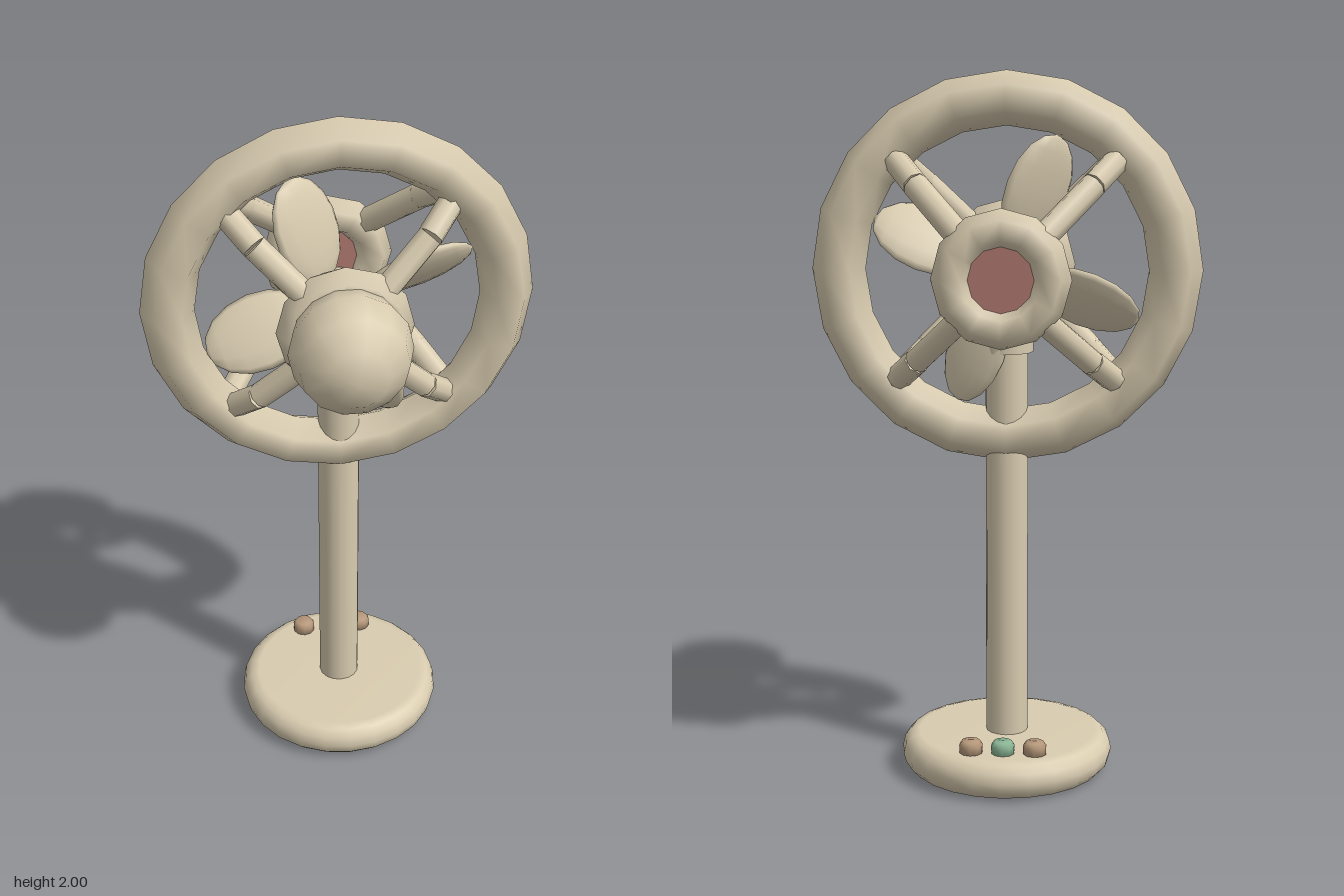
import * as THREE from 'three';

const CY = 1.455; // height of the fan axis
const CZ = -0.063; // depth of the pole and ring
const paint = (color) => new THREE.MeshStandardMaterial({ color });
const cream = paint(0xd9ccb0), red = paint(0xb07a70), green = paint(0x8ab594), brown = paint(0xb5977a);

function add(parent, name, geometry, material, x = 0, y = 0, z = 0) {
  const mesh = new THREE.Mesh(geometry, material);
  mesh.name = name;
  mesh.position.set(x, y, z);
  parent.add(mesh);
  return mesh;
}

// Cylinder lying along z between two depths
function axial(parent, name, radius, z0, z1, material = cream, sides = 16) {
  const g = new THREE.CylinderGeometry(radius, radius, z1 - z0, sides).rotateX(Math.PI / 2);
  return add(parent, name, g, material, 0, 0, (z0 + z1) / 2);
}

// Straight bar between two points
function bar(parent, name, a, b, radius) {
  const dir = b.clone().sub(a);
  const mesh = add(parent, name, new THREE.CylinderGeometry(radius, radius, dir.length(), 8), cream);
  mesh.position.copy(a).lerp(b, 0.5);
  mesh.quaternion.setFromUnitVectors(new THREE.Vector3(0, 1, 0), dir.normalize());
}

export function createModel() {
  const model = new THREE.Group();
  model.name = 'fan';

  // Rounded foot
  const r = 0.05, profile = [new THREE.Vector2(0, 0)];
  for (let i = 0; i <= 6; i++) {
    const a = -Math.PI / 2 + (i / 6) * Math.PI;
    profile.push(new THREE.Vector2(0.255 + r * Math.cos(a), 0.055 + 0.055 * Math.sin(a)));
  }
  profile.push(new THREE.Vector2(0, 0.11));
  add(model, 'base', new THREE.LatheGeometry(profile, 24), cream, 0, 0, CZ);

  // Pole and its collar under the motor
  add(model, 'pole', new THREE.CylinderGeometry(0.06, 0.06, 1.22, 16), cream, 0, 0.71, CZ);
  add(model, 'collar', new THREE.CylinderGeometry(0.075, 0.075, 0.17, 12), cream, 0, 1.31, CZ);

  // Buttons at the back of the foot
  const knob = [[0, -0.01], [0.033, -0.01], [0.034, 0.022], [0.025, 0.035], [0, 0.036]].map((p) => new THREE.Vector2(...p));
  [-0.09, 0, 0.09].forEach((x, i) =>
    add(model, 'button', new THREE.LatheGeometry(knob, 10), i === 1 ? green : brown, x, 0.11, -0.26));

  const head = new THREE.Group();
  head.name = 'head';
  head.position.y = CY;
  model.add(head);

  // Guard rings
  add(head, 'outerRing', new THREE.TorusGeometry(0.47, 0.075, 6, 20), cream, 0, 0, -0.065);
  add(head, 'frontRing', new THREE.TorusGeometry(0.133, 0.055, 6, 12), cream, 0, 0, 0.088);
  add(head, 'backRing', new THREE.TorusGeometry(0.133, 0.055, 6, 12), cream, 0, 0, -0.327);
  axial(head, 'backCap', 0.1, -0.345, -0.315, red);

  // Motor, stepped towards the blades
  const ball = new THREE.SphereGeometry(0.168, 14, 6).rotateX(Math.PI / 2);
  add(head, 'motor', ball, cream, 0, 0, 0.202);
  axial(head, 'motorPlate', 0.135, 0, 0.12);
  axial(head, 'shaft', 0.085, -0.1, 0.01);
  add(head, 'hub', new THREE.SphereGeometry(0.072, 10, 6).rotateX(Math.PI / 2), cream, 0, 0, -0.11);

  // Diagonal guard spokes, each bent once: [distance from axis, depth]
  const paths = { frontSpoke: [[0.14, 0.085], [0.33, 0.03], [0.42, -0.03]], backSpoke: [[0.14, -0.32], [0.34, -0.19], [0.425, -0.11]] };
  for (let k = 0; k < 4; k++) {
    const a = Math.PI / 4 + (k * Math.PI) / 2;
    for (const [name, path] of Object.entries(paths)) {
      const pts = path.map(([d, z]) => new THREE.Vector3(d * Math.cos(a), d * Math.sin(a), z));
      bar(head, name, pts[0], pts[1], 0.036);
      bar(head, name, pts[1], pts[2], 0.036);
    }
  }

  // Pitched oval blades
  for (let k = 0; k < 4; k++) {
    const arm = new THREE.Group();
    arm.name = 'bladeArm';
    arm.position.z = -0.065;
    arm.rotation.z = THREE.MathUtils.degToRad(21 + 90 * k);
    const g = new THREE.SphereGeometry(1, 12, 8).rotateZ(Math.PI / 2).scale(0.16, 0.11, 0.026);
    add(arm, 'blade', g, cream, 0.235, 0, 0).rotation.x = THREE.MathUtils.degToRad(40);
    head.add(arm);
  }
  return model;
}
